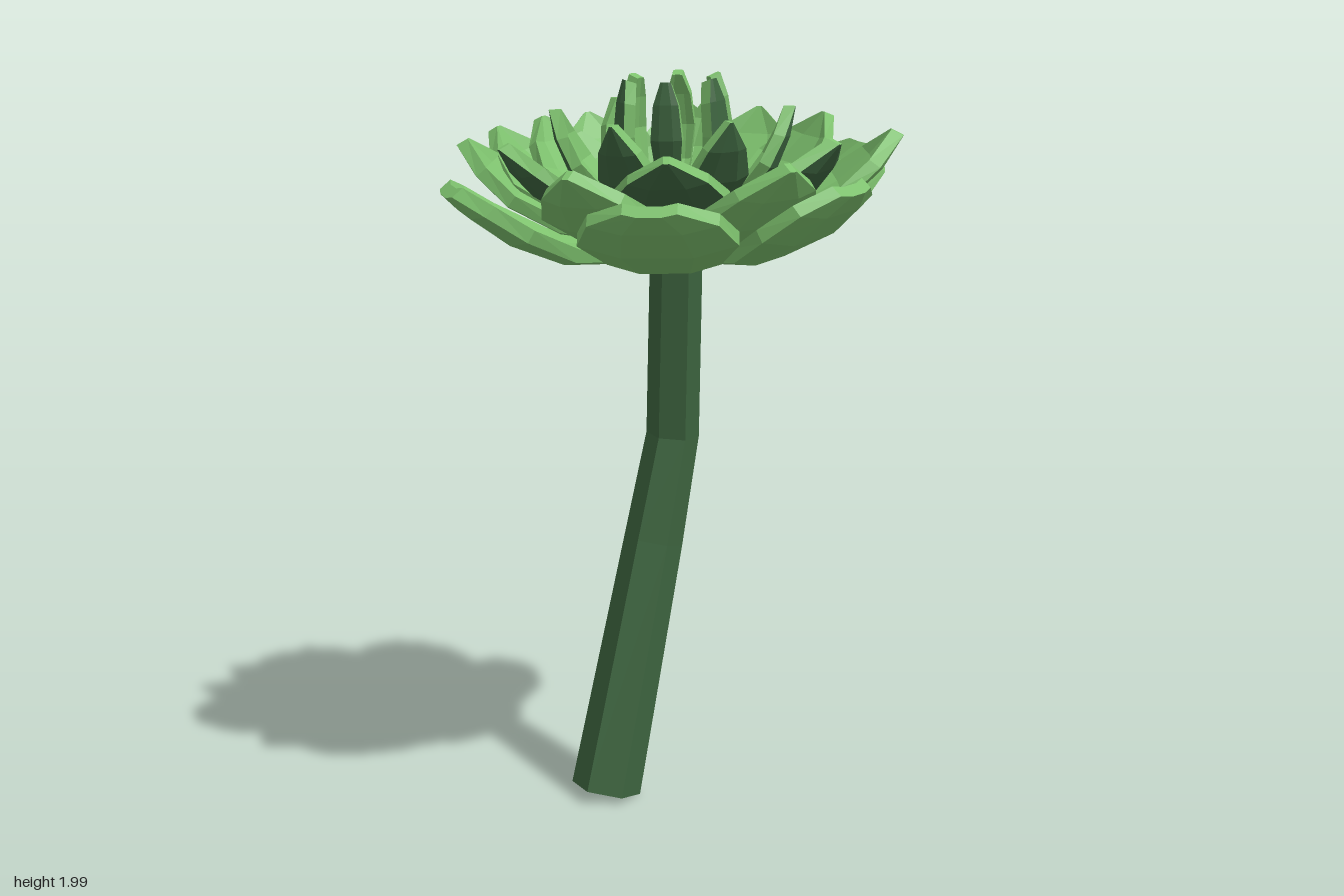
import * as THREE from 'three';

const UP = new THREE.Vector3(0, 1, 0);

// Joins rings of points into a closed-sided surface, one lengthwise strip after another
function loft(rings, tris = []) {
  const n = rings[0].length;
  for (let k = 0; k < n; k++) {
    const m = (k + 1) % n;
    for (let i = 0; i < rings.length - 1; i++) {
      const [a, b, c, d] = [rings[i][k], rings[i][m], rings[i + 1][m], rings[i + 1][k]];
      tris.push(a, b, c, a, c, d);
    }
  }
  return tris;
}

function toGeometry(points) {
  const g = new THREE.BufferGeometry().setFromPoints(points);
  g.computeVertexNormals();
  return g;
}

// Outlines: [distance along the petal, share of half width]
const ROUNDED = [[0, 0.12], [0.45, 0.73], [0.7, 1], [0.89, 0.8], [1, 0.33]];
const POINTED = [[0, 0.12], [0.42, 0.77], [0.66, 1], [0.85, 0.66], [1, 0.05]];
const ACROSS = [-1, -0.45, 0.45, 1];

// Thick cupped petal growing along +x and curling up
function petalGeometry({ base, bend, tip, half, cup, thick, outline }) {
  const curve = new THREE.QuadraticBezierCurve(
    new THREE.Vector2(0, base), new THREE.Vector2(...bend), new THREE.Vector2(...tip));
  const rings = outline.map(([t, w]) => {
    const p = curve.getPoint(t), d = curve.getTangent(t);
    const at = (s, drop) => {
      const lift = cup * half * w * s * s - drop;
      return new THREE.Vector3(p.x - d.y * lift, p.y + d.x * lift, s * w * half);
    };
    return [...ACROSS.map(s => at(s, 0)), ...[...ACROSS].reverse().map(s => at(s, thick))];
  });
  const tris = loft(rings);
  // Blunt tip face
  const end = rings[rings.length - 1], n = end.length;
  for (let k = 0; k < ACROSS.length - 1; k++) {
    const [a, b, c, d] = [end[k], end[k + 1], end[n - 2 - k], end[n - 1 - k]];
    tris.push(a, b, c, a, c, d);
  }
  // Material 0 covers the upper face and rim, material 1 the underside
  const strip = (rings.length - 1) * 6, under = ACROSS.length * strip;
  const rim = (n - 1) * strip;
  const geometry = toGeometry(tris);
  geometry.addGroup(0, under, 0);
  geometry.addGroup(under, rim - under, 1);
  geometry.addGroup(rim, tris.length - rim, 0);
  return geometry;
}

// Six-sided stem bending through a few centres: [x, y, z, radius]
function stemGeometry() {
  const path = [[-0.16, 0.024, -0.145, 0.097], [-0.01, 0.72, -0.165, 0.082],
    [0.045, 1.02, -0.157, 0.073], [0.014, 1.56, -0.045, 0.07]];
  const centres = path.map(p => new THREE.Vector3(p[0], p[1], p[2]));
  const rings = centres.map((c, i) => {
    const dir = centres[Math.min(i + 1, 3)].clone().sub(centres[Math.max(i - 1, 0)]).normalize();
    const q = new THREE.Quaternion().setFromUnitVectors(UP, dir);
    return Array.from({ length: 6 }, (_, k) => {
      const a = k * Math.PI / 3 + 0.14;
      return new THREE.Vector3(Math.sin(a), 0, Math.cos(a))
        .multiplyScalar(path[i][3]).applyQuaternion(q).add(c);
    });
  });
  const tris = loft(rings);
  for (let k = 0; k < 6; k++) {
    const m = (k + 1) % 6;
    tris.push(centres[0], rings[0][m], rings[0][k], centres[3], rings[3][k], rings[3][m]);
  }
  return toGeometry(tris);
}

export function createModel() {
  const petalGreen = new THREE.MeshStandardMaterial({ color: 0x7ec26e, flatShading: true });
  petalGreen.name = 'petalGreen';
  const stemGreen = new THREE.MeshStandardMaterial({ color: 0x3f6741, flatShading: true });
  stemGreen.name = 'stemGreen';

  const model = new THREE.Group();
  model.name = 'succulentFlower';
  const stem = new THREE.Mesh(stemGeometry(), stemGreen);
  stem.name = 'stem';
  model.add(stem);

  // Rosette leans with the top of the stem
  const rosette = new THREE.Group();
  rosette.name = 'rosette';
  rosette.position.set(0.012, 1.532, -0.035);
  rosette.quaternion.setFromUnitVectors(UP, new THREE.Vector3(-0.1, 1, 0.18).normalize());
  model.add(rosette);

  // Petal rings from the outside in; each petal is [degrees from +x towards +z, length scale]
  const layers = [
    { name: 'outerPetal', under: petalGreen, base: 0, bend: [0.41, -0.02], tip: [0.59, 0.22],
      half: 0.195, cup: 0.2, thick: 0.035, outline: ROUNDED,
      petals: [[180, 1], [117, 0.91], [60, 0.92], [-6, 1], [-62, 0.97], [-113, 0.97]] },
    { name: 'lowerPetal', under: petalGreen, base: 0.03, bend: [0.4, 0.04], tip: [0.54, 0.3],
      half: 0.16, cup: 0.2, thick: 0.034, outline: POINTED,
      petals: [[82, 1], [22, 1.04], [-42, 1], [-97, 0.98], [-132, 1], [-155, 1], [137, 1]] },
    { name: 'middlePetal', under: stemGreen, base: 0.06, bend: [0.35, 0.09], tip: [0.45, 0.32],
      half: 0.145, cup: 0.25, thick: 0.032, outline: POINTED,
      petals: [[176, 1], [113, 1], [55, 1.02], [-5, 1], [-64, 1], [-122, 1]] },
    { name: 'upperPetal', under: stemGreen, base: 0.08, bend: [0.27, 0.13], tip: [0.285, 0.37],
      half: 0.08, cup: 0.3, thick: 0.03, outline: POINTED,
      petals: [[138, 1.05], [84, 1], [26, 1], [-48, 1], [-103, 0.95], [-153, 1.03]] },
    { name: 'innerPetal', under: stemGreen, base: 0.1, bend: [0.19, 0.2], tip: [0.105, 0.44],
      half: 0.04, cup: 0.25, thick: 0.03, outline: ROUNDED,
      petals: [[180, 1], [118, 1], [58, 1], [-2, 1], [-62, 1], [-122, 1]] },
  ];
  for (const layer of layers) {
    const geometry = petalGeometry(layer);
    layer.petals.forEach(([deg, length], i) => {
      const petal = new THREE.Mesh(geometry, [petalGreen, layer.under]);
      petal.name = `${layer.name}${i + 1}`;
      petal.rotation.y = -THREE.MathUtils.degToRad(deg);
      petal.scale.x = length;
      rosette.add(petal);
    });
  }
  return model;
}
